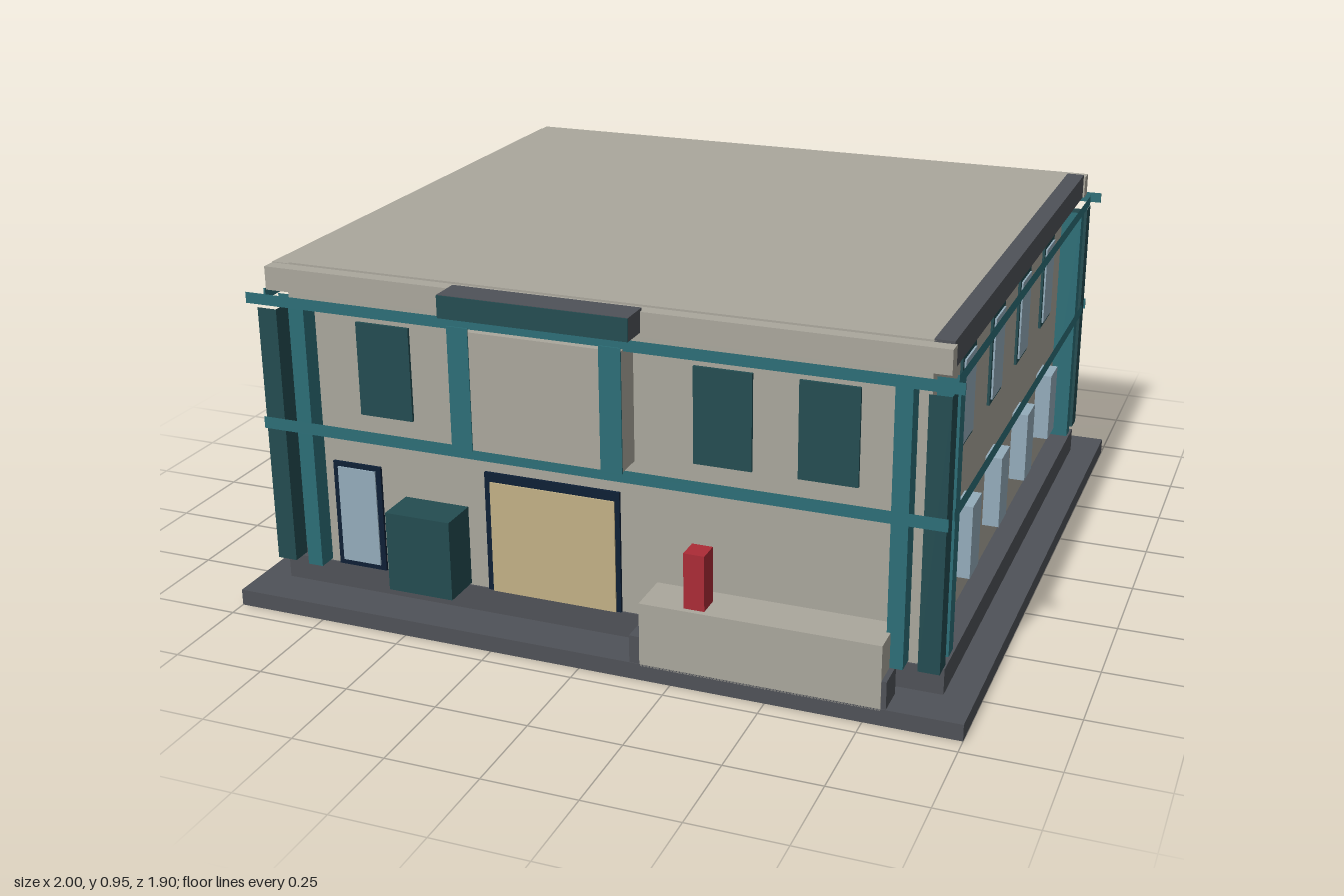
import * as THREE from 'three';

const mat = (name, color) => {
  const m = new THREE.MeshStandardMaterial({ color });
  m.name = name;
  return m;
};

export function createModel() {
  const model = new THREE.Group();
  model.name = 'building';
  const wall = mat('wall beige', 0xaaa79c);
  const grey = mat('dark grey', 0x4f5258);
  const teal = mat('teal', 0x2c6e77);
  const darkTeal = mat('dark teal', 0x234c51);
  const navy = mat('navy', 0x0d1f35);
  const glass = mat('pale blue glass', 0x94acbb);
  const red = mat('red', 0xab2b36);
  const tan = mat('tan', 0xc2b186);

  // Box from min/max corners; faces optionally limits it to some sides (+x -x +y -y +z -z)
  function box(name, m, x0, x1, y0, y1, z0, z1, faces) {
    const g = new THREE.BoxGeometry(x1 - x0, y1 - y0, z1 - z0);
    if (faces) {
      const src = Array.from(g.index.array);
      g.setIndex(faces.flatMap((f) => src.slice(f * 6, f * 6 + 6)));
      g.clearGroups();
    }
    const mesh = new THREE.Mesh(g, m);
    mesh.name = name;
    mesh.position.set((x0 + x1) / 2, (y0 + y1) / 2, (z0 + z1) / 2);
    model.add(mesh);
    return mesh;
  }
  const openTop = [0, 1, 3, 4, 5];
  const underside = [3];
  // Same box mirrored over x or z when the sign is negative
  function mirrored(name, m, sx, sz, x0, x1, y0, y1, z0, z1, faces) {
    const [a, b] = sx > 0 ? [x0, x1] : [-x1, -x0];
    const [c, d] = sz > 0 ? [z0, z1] : [-z1, -z0];
    return box(name, m, a, b, y0, y1, c, d, faces);
  }

  // Base, plinth, walls
  box('baseSlab', grey, -1, 1, 0, 0.045, -0.95, 0.95);
  box('plinth', grey, -0.92, 0.92, 0.04, 0.115, -0.83, 0.83);
  box('walls', wall, -0.86, 0.86, 0.115, 0.88, -0.825, 0.825);

  // Roof and parapets
  box('roof', wall, -0.86, 0.86, 0.88, 0.948, -0.812, 0.812);
  box('frontParapet', wall, -0.91, 0.91, 0.88, 0.943, 0.81, 0.85);
  box('backParapet', wall, -0.91, 0.91, 0.88, 0.943, -0.855, -0.81);
  box('leftParapet', grey, 0.855, 0.905, 0.88, 0.95, -0.812, 0.812);
  box('rightParapet', wall, -0.91, -0.86, 0.88, 0.945, -0.812, 0.812);

  // Steel frame: corner posts and inner posts
  for (const sx of [-1, 1]) for (const sz of [-1, 1]) {
    mirrored('cornerPost', darkTeal, sx, sz, 0.865, 0.92, 0.125, 0.84, 0.825, 0.88, openTop);
    mirrored('facePost', teal, sx, sz, 0.785, 0.828, 0.12, 0.85, 0.82, 0.878, openTop);
    mirrored('sidePost', teal, sx, sz, 0.855, 0.918, 0.125, 0.85, 0.74, 0.785, openTop);
  }

  // Horizontal beams round the building at two levels
  for (const [y0, y1, hx, hz] of [[0.505, 0.538, 0.925, 0.825], [0.85, 0.88, 0.95, 0.84]]) {
    for (const s of [-1, 1]) {
      mirrored('faceBeam', teal, 1, s, -hx, hx, y0, y1, 0.88, 0.885, openTop);
      mirrored('faceBeamUnderside', teal, 1, s, -0.86, 0.86, y0, y1, 0.825, 0.88, underside);
      mirrored('sideBeam', teal, s, 1, 0.92, 0.925, y0, y1, -hz, hz, openTop);
      mirrored('sideBeamUnderside', teal, s, 1, 0.86, 0.92, y0, y1, -hz, hz, underside);
    }
  }

  // Side windows; the right side has only the two middle ones below
  for (const s of [-1, 1]) {
    [0.48, 0.147, -0.188, -0.522].forEach((z, i) => {
      mirrored('upperWindowFrame', darkTeal, s, 1, 0.86, 0.867, 0.57, 0.82, z - 0.071, z + 0.071);
      mirrored('upperWindowGlass', glass, s, 1, 0.865, 0.872, 0.583, 0.807, z - 0.057, z + 0.057);
      if (s > 0 || i === 1 || i === 2) {
        mirrored('lowerWindowBox', glass, s, 1, 0.855, 0.905, 0.215, 0.415, z - 0.048, z + 0.048);
      }
    });
  }

  // Front upper windows
  for (const x of [-0.585, 0.345, 0.615]) {
    box('frontWindow', darkTeal, x - 0.076, x + 0.076, 0.56, 0.815, 0.825, 0.833);
  }

  // Projecting bay with posts, and canopy above
  box('bay', wall, -0.35, 0.11, 0.54, 0.855, 0.82, 0.905);
  for (const x of [-0.327, 0.083]) {
    box('bayPost', teal, x - 0.029, x + 0.029, 0.538, 0.865, 0.904, 0.908);
  }
  box('canopy', grey, -0.37, 0.14, 0.89, 0.95, 0.838, 0.923);
  box('canopyFace', darkTeal, -0.37, 0.14, 0.89, 0.949, 0.923, 0.926);

  // Front entrance
  box('entranceFrame', navy, -0.757, -0.615, 0.115, 0.415, 0.825, 0.833);
  box('entranceGlass', glass, -0.742, -0.63, 0.13, 0.402, 0.83, 0.837);

  // Garage door
  box('garageFrame', navy, -0.308, 0.07, 0.115, 0.45, 0.825, 0.833);
  box('garagePanel', tan, -0.292, 0.057, 0.115, 0.425, 0.83, 0.837);

  // Back door
  box('backDoor', navy, -0.055, 0.08, 0.115, 0.4, -0.833, -0.825);

  // Objects along the front
  box('storageBin', darkTeal, -0.547, -0.363, 0.12, 0.34, 0.825, 0.935);
  box('counter', wall, 0.168, 0.795, 0.04, 0.215, 0.82, 0.95);
  box('counterKerbRight', grey, 0.14, 0.168, 0.04, 0.12, 0.86, 0.948);
  box('counterKerbLeft', grey, 0.795, 0.808, 0.04, 0.12, 0.865, 0.948);
  box('redCabinet', red, 0.282, 0.337, 0.21, 0.365, 0.875, 0.935);

  return model;
}
